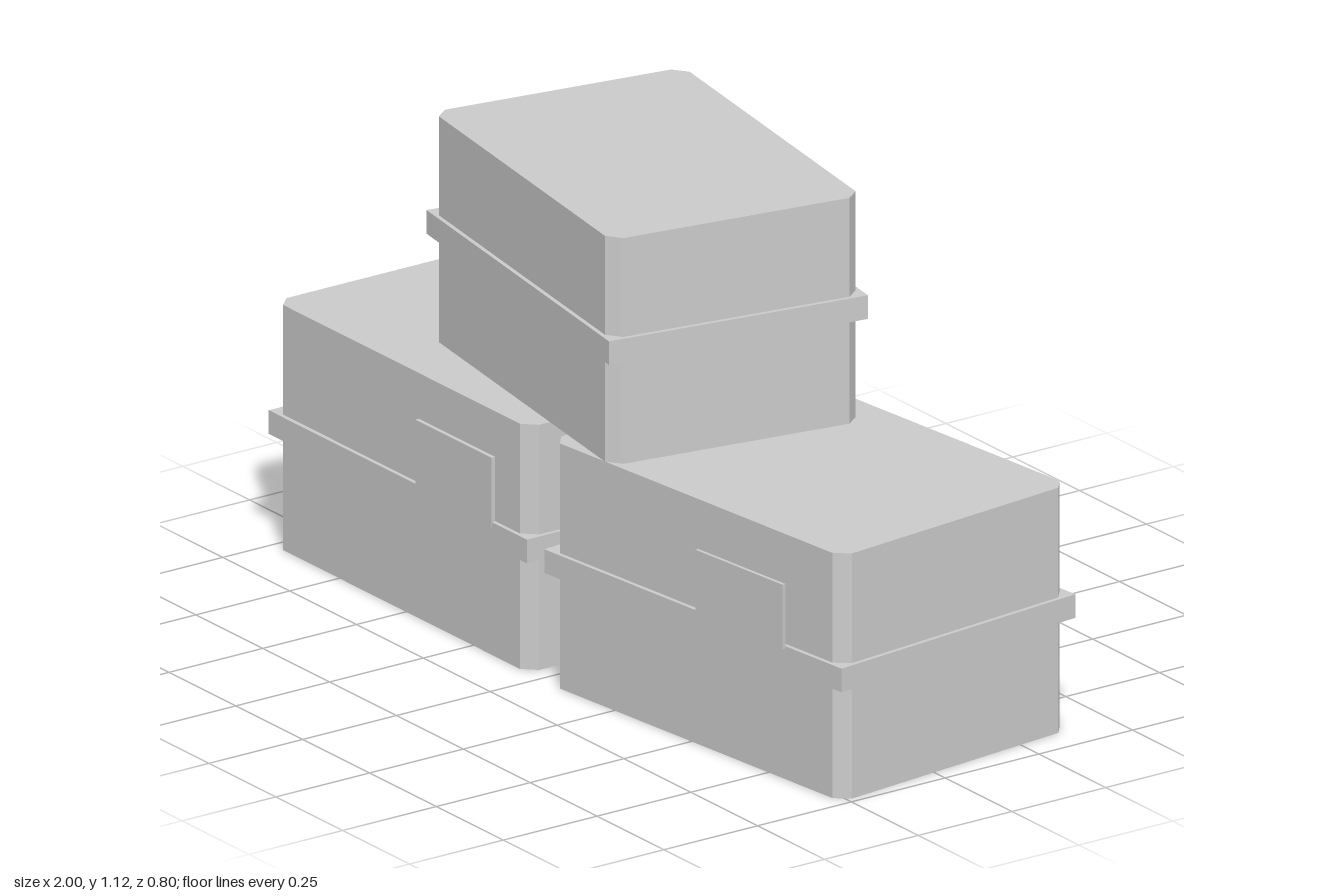
import * as THREE from 'three';

const grey = new THREE.MeshStandardMaterial({ color: 0xcccccc });
grey.name = 'plain grey';

// Upright block with its four vertical edges cut off
function chamferedBlock(w, h, d, c) {
  const x = w / 2, z = d / 2;
  const shape = new THREE.Shape([
    [x - c, -z], [x, -z + c], [x, z - c], [x - c, z],
    [-x + c, z], [-x, z - c], [-x, -z + c], [-x + c, -z],
  ].map(([a, b]) => new THREE.Vector2(a, b)));
  return new THREE.ExtrudeGeometry(shape, { depth: h, bevelEnabled: false }).rotateX(-Math.PI / 2);
}

function add(group, name, geometry, x = 0, y = 0, z = 0) {
  const mesh = new THREE.Mesh(geometry, grey);
  mesh.name = name;
  mesh.position.set(x, y, z);
  group.add(mesh);
}

// Crate: body, square-cornered band round it, optional latch plate on the front
function crate({ name, w, h, d, position, turn, band, latch }) {
  const group = new THREE.Group();
  group.name = name;
  const rim = 0.01;
  add(group, 'body', chamferedBlock(w - 2 * rim, h, d - 2 * rim, 0.03));
  add(group, 'band', new THREE.BoxGeometry(w, band[1] - band[0], d), 0, (band[0] + band[1]) / 2, 0);
  if (latch) {
    const { x, bottom, top, front, thickness } = latch;
    add(group, 'latch', new THREE.BoxGeometry(0.285, top - bottom, thickness),
      x, (bottom + top) / 2, front - thickness / 2);
  }
  group.position.set(...position);
  group.rotation.y = turn;
  return group;
}

export function createModel() {
  const model = new THREE.Group();
  model.name = 'crateStack';
  model.add(
    crate({
      name: 'rightCrate', w: 0.965, h: 0.57, d: 0.685, position: [-0.5175, 0, 0.035], turn: 0,
      band: [0.26, 0.315], latch: { x: 0.21, bottom: 0.3, top: 0.465, front: 0.3435, thickness: 0.0095 },
    }),
    crate({
      name: 'leftCrate', w: 0.97, h: 0.57, d: 0.68, position: [0.48, 0, -0.01], turn: 0.108,
      band: [0.26, 0.315], latch: { x: 0.17, bottom: 0.315, top: 0.465, front: 0.357, thickness: 0.008 },
    }),
    crate({
      name: 'topCrate', w: 0.89, h: 0.525, d: 0.628, position: [-0.09, 0.59, 0.017], turn: -0.158,
      band: [0.24, 0.295],
    }),
  );
  return model;
}
